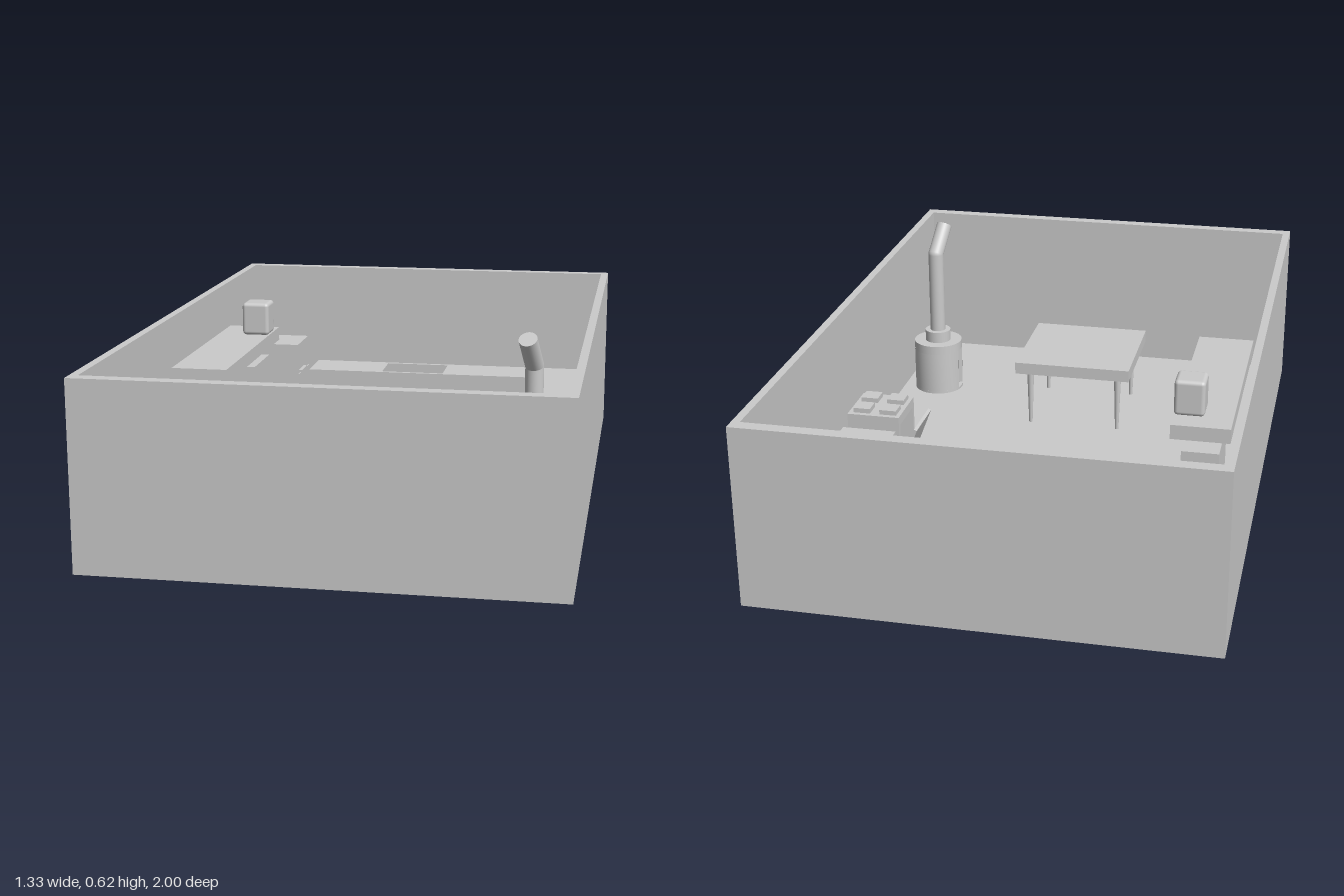
import * as THREE from 'three';
import { toCreasedNormals } from 'three/addons/utils/BufferGeometryUtils.js';
import { RoundedBoxGeometry } from 'three/addons/geometries/RoundedBoxGeometry.js';

const mat = new THREE.MeshStandardMaterial({ color: 0xcccccc });
const openMat = new THREE.MeshStandardMaterial({ color: 0xcccccc, side: THREE.DoubleSide });
const FLOOR = 0.028;

function add(parent, name, geometry, material = mat) {
  const mesh = new THREE.Mesh(geometry, material);
  mesh.name = name;
  parent.add(mesh);
  return mesh;
}

function group(parent, name) {
  const g = new THREE.Group();
  g.name = name;
  parent.add(g);
  return g;
}

// Box given by its limits on each axis
function box(parent, name, x0, x1, y0, y1, z0, z1) {
  const m = add(parent, name, new THREE.BoxGeometry(x1 - x0, y1 - y0, z1 - z0));
  m.position.set((x0 + x1) / 2, (y0 + y1) / 2, (z0 + z1) / 2);
  return m;
}

// Upright cylinder between two heights
function post(parent, name, x, z, y0, y1, rTop, rBottom = rTop, sides = 32) {
  const m = add(parent, name, new THREE.CylinderGeometry(rTop, rBottom, y1 - y0, sides));
  m.position.set(x, (y0 + y1) / 2, z);
  return m;
}

// Plan outline of [x, z] points with a hole, raised from y0 to y1.
// The outline runs counter-clockwise, the hole clockwise.
function plan(parent, name, points, hole, y0, y1) {
  const toVec = ([x, z]) => new THREE.Vector2(x, -z);
  const shape = new THREE.Shape(points.map(toVec).reverse());
  shape.holes.push(new THREE.Path(hole.map(toVec)));
  const geo = new THREE.ExtrudeGeometry(shape, { depth: y1 - y0, bevelEnabled: false });
  geo.rotateX(-Math.PI / 2);
  const m = add(parent, name, geo);
  m.position.y = y0;
  return m;
}

const rect = (x0, x1, z0, z1) => [[x0, z0], [x1, z0], [x1, z1], [x0, z1]];

// Four-sided casing, open along x
function casing(parent, name, x0, x1, y0, y1, z0, z1, side, cap) {
  const g = group(parent, name);
  box(g, 'casingBottom', x0, x1, y0, y0 + cap, z0, z1);
  box(g, 'casingTop', x0, x1, y1 - cap, y1, z0, z1);
  box(g, 'casingSide', x0, x1, y0 + cap, y1 - cap, z0, z0 + side);
  box(g, 'casingSide', x0, x1, y0 + cap, y1 - cap, z1 - side, z1);
  return g;
}

export function createModel() {
  const model = new THREE.Group();
  model.name = 'kitchenRoom';

  // Room shell, open at the top
  const room = group(model, 'room');
  box(room, 'floor', -0.667, 0.667, 0, FLOOR, -1, 1);
  plan(room, 'walls', rect(-0.667, 0.667, -1, 1), rect(-0.643, 0.643, -0.962, 0.962), FLOOR, 0.54);

  // L-shaped counter with a sunken basin
  const counter = group(model, 'cornerCounter');
  plan(counter, 'counterBody',
    [[-0.397, -0.929], [0.624, -0.929], [0.624, -0.211], [0.453, -0.211], [0.453, -0.761], [-0.397, -0.761]],
    rect(-0.13, 0.092, -0.914, -0.774), FLOOR, 0.192);
  box(counter, 'basinBottom', -0.13, 0.092, FLOOR, 0.145, -0.914, -0.774);

  // Side counter with the shelf above it
  box(model, 'sideCounter', -0.61, -0.437, FLOOR, 0.193, -0.473, 0.244);
  box(model, 'shelf', -0.61, -0.437, 0.362, 0.406, -0.457, 0.244);
  const canister = add(model, 'canister', new RoundedBoxGeometry(0.09, 0.108, 0.09, 3, 0.012));
  canister.position.set(-0.482, 0.46, -0.346);

  // Small oven on the side counter, open at the front
  const smallOven = casing(model, 'smallOven', -0.577, -0.467, 0.193, 0.313, -0.428, -0.225, 0.02, 0.02);
  box(smallOven, 'casingBack', -0.577, -0.557, 0.213, 0.293, -0.408, -0.245);

  // Fridge with door gap strip and handle
  const fridge = group(model, 'fridge');
  box(fridge, 'fridgeBody', -0.601, -0.396, FLOOR, 0.322, -0.735, -0.566);
  box(fridge, 'doorStrip', -0.398, -0.393, 0.212, 0.217, -0.735, -0.566);
  box(fridge, 'handle', -0.396, -0.384, 0.222, 0.23, -0.656, -0.576);

  // Stove: hollow body, burners and a tilted open door
  const stove = casing(model, 'stove', 0.449, 0.616, FLOOR, 0.228, -0.187, -0.018, 0.015, 0.03);
  box(stove, 'casingBack', 0.601, 0.616, 0.058, 0.198, -0.172, -0.033);
  for (const x of [0.489, 0.574])
    for (const z of [-0.145, -0.06])
      box(stove, 'burner', x - 0.027, x + 0.027, 0.228, 0.243, z - 0.027, z + 0.027);
  const door = add(stove, 'ovenDoor', new THREE.BoxGeometry(0.01, 0.145, 0.168));
  door.position.set(0.422, 0.123, -0.103);
  door.rotation.z = 0.37;

  // Table on four tapered legs
  const table = group(model, 'table');
  box(table, 'tableTop', -0.205, 0.178, 0.217, 0.256, 0.266, 0.646);
  for (const x of [-0.162, 0.134])
    for (const z of [0.306, 0.606])
      post(table, 'tableLeg', x, z, FLOOR, 0.217, 0.012, 0.006, 12);

  // Round heater: drum with a hatch opening, collar and bent flue
  const heater = group(model, 'heater');
  const hx = 0.523, hz = 0.553, r = 0.083, t = 0.012, y0 = 0.036, y1 = 0.175, half = 0.31;
  post(heater, 'drumBase', hx, hz, FLOOR, y0, r);
  post(heater, 'drumTop', hx, hz, y1, 0.205, r);
  const profile = [[r - t, y0], [r, y0], [r, y1], [r - t, y1], [r - t, y0]]
    .map(([a, b]) => new THREE.Vector2(a, b));
  const wall = toCreasedNormals(
    new THREE.LatheGeometry(profile, 32, Math.PI * 1.5 + half, Math.PI * 2 - 2 * half), 0.6);
  add(heater, 'drumWall', wall, openMat).position.set(hx, 0, hz);
  for (const s of [-1, 1]) {
    const jamb = add(heater, 'hatchJamb', new THREE.BoxGeometry(t, y1 - y0, 0.003));
    const a = s * (half + 0.02), mid = r - t / 2 - 0.0005;
    jamb.position.set(hx - Math.cos(a) * mid, (y0 + y1) / 2, hz + Math.sin(a) * mid);
    jamb.rotation.y = a;
  }
  post(heater, 'collar', hx, hz, 0.205, 0.243, 0.044);
  post(heater, 'flue', hx, hz, 0.243, 0.52, 0.026);
  const bend = new THREE.Vector3(hx, 0.52, hz);
  const end = new THREE.Vector3(0.508, 0.607, 0.617);
  add(heater, 'flueElbow', new THREE.SphereGeometry(0.026, 24, 12)).position.copy(bend);
  const outlet = add(heater, 'flueOutlet', new THREE.CylinderGeometry(0.026, 0.026, bend.distanceTo(end), 32));
  outlet.position.copy(bend).lerp(end, 0.5);
  outlet.quaternion.setFromUnitVectors(new THREE.Vector3(0, 1, 0), end.clone().sub(bend).normalize());

  return model;
}
